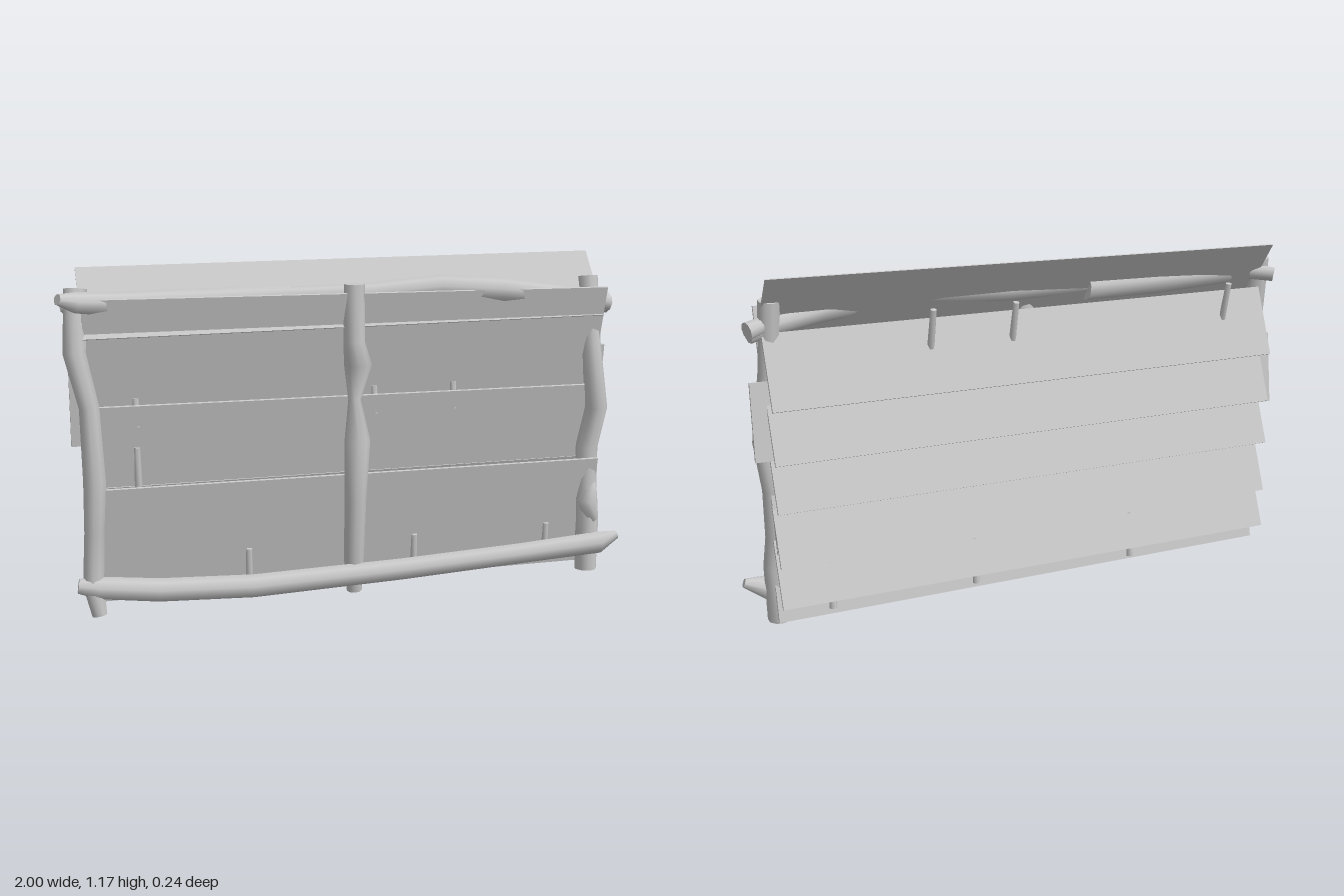
import * as THREE from 'three';

const grey = new THREE.MeshStandardMaterial({ color: 0xc8c8c8 });
grey.name = 'plain grey';

// Crooked log: rings of vertices around a kinked path, each point is [x, y, z, radius]
function log(name, points, sides = 9) {
  const path = points.map(p => new THREE.Vector3(p[0], p[1], p[2]));
  const pos = [], idx = [];
  const rings = path.map((p, i) => {
    const t = path[Math.min(i + 1, path.length - 1)].clone().sub(path[Math.max(i - 1, 0)]).normalize();
    const u = new THREE.Vector3(0, 0, 1).cross(t).normalize();
    const v = t.clone().cross(u);
    return Array.from({ length: sides }, (_, k) => {
      const a = k / sides * Math.PI * 2;
      return p.clone().addScaledVector(u, Math.cos(a) * points[i][3]).addScaledVector(v, Math.sin(a) * points[i][3]);
    });
  });
  rings.forEach(r => r.forEach(q => pos.push(q.x, q.y, q.z)));
  for (let i = 0; i < rings.length - 1; i++) {
    for (let k = 0; k < sides; k++) {
      const a = i * sides + k, b = i * sides + (k + 1) % sides;
      idx.push(a, b, a + sides, b, b + sides, a + sides);
    }
  }
  // flat sawn ends
  [0, rings.length - 1].forEach((ri, end) => {
    const base = pos.length / 3;
    rings[ri].forEach(q => pos.push(q.x, q.y, q.z));
    for (let k = 1; k < sides - 1; k++) {
      if (end) idx.push(base, base + k, base + k + 1);
      else idx.push(base, base + k + 1, base + k);
    }
  });
  const g = new THREE.BufferGeometry();
  g.setAttribute('position', new THREE.Float32BufferAttribute(pos, 3));
  g.setIndex(idx);
  g.computeVertexNormals();
  const m = new THREE.Mesh(g, grey);
  m.name = name;
  return m;
}

// Board leaning between a low and a high edge, given as y and z
function board(name, y0, z0, y1, z1, x0, x1, tilt, thick = 0.01) {
  const m = new THREE.Mesh(new THREE.BoxGeometry(x1 - x0, Math.hypot(y1 - y0, z1 - z0), thick), grey);
  m.position.set((x0 + x1) / 2, (y0 + y1) / 2, (z0 + z1) / 2);
  m.rotation.set(Math.atan2(z1 - z0, y1 - y0), 0, tilt);
  m.name = name;
  return m;
}

export function createModel() {
  const root = new THREE.Group();
  root.name = 'slattedFence';

  // steep front boards: low y, low z, high y, high z
  const slats = new THREE.Group();
  slats.name = 'slats';
  [
    [0.03, -0.045, 0.44, 0.045],
    [0.28, -0.075, 0.71, 0.02],
    [0.62, -0.04, 1.065, 0.07],
  ].forEach(s => slats.add(board('frontSlat', ...s, -0.92, 0.905, -0.008)));

  // shallower overlapping boards behind: low y, high y
  [[0.10, 0.31], [0.24, 0.43], [0.425, 0.63], [0.585, 0.79], [0.76, 0.99]].forEach(([y0, y1]) =>
    slats.add(board('backSlat', y0, -0.117, y1, -0.117 + 0.41 * (y1 - y0), -0.92, 0.905, -0.004)));
  slats.add(board('wideSlat', 0.58, -0.07, 0.83, -0.035, -0.96, 0.955, 0.008));
  slats.add(board('capBoard', 0.95, 0.054, 1.165, -0.105, -0.92, 0.905, 0.008, 0.004));
  root.add(slats);

  // uprights
  root.add(
    log('leftPost', [
      [-0.9, 0.02, 0.05, 0.025], [-0.915, 0.12, 0.035, 0.035], [-0.905, 0.3, 0.03, 0.033],
      [-0.9, 0.48, 0.06, 0.037], [-0.905, 0.72, 0.03, 0.033], [-0.945, 0.9, 0.04, 0.037], [-0.93, 1.1, 0.0, 0.038],
    ]),
    log('centrePost', [
      [-0.01, 0.012, 0.02, 0.027], [-0.015, 0.14, 0.03, 0.036], [-0.015, 0.35, 0.05, 0.038],
      [-0.01, 0.56, 0.055, 0.045], [-0.015, 0.7, 0.04, 0.022], [-0.005, 0.82, 0.045, 0.048],
      [-0.02, 0.9, 0.05, 0.037], [-0.02, 1.095, 0.055, 0.036],
    ]),
    log('rightPost', [
      [0.885, 0.008, 0.02, 0.04], [0.89, 0.2, 0.01, 0.042], [0.88, 0.3, 0.01, 0.04],
      [0.885, 0.47, -0.005, 0.04], [0.9, 0.62, 0.03, 0.04], [0.88, 0.85, 0.01, 0.035], [0.875, 1.09, -0.025, 0.035],
    ]),
    log('rightPostKnot', [[0.9, 0.2, 0.025, 0.025], [0.87, 0.28, 0.04, 0.04], [0.9, 0.34, 0.03, 0.012]]),
  );

  // rails
  root.add(
    log('bottomRail', [
      [-0.965, 0.125, 0.04, 0.025], [-0.9, 0.115, 0.045, 0.038], [-0.7, 0.09, 0.05, 0.04], [-0.38, 0.075, 0.055, 0.04],
      [0.15, 0.085, 0.055, 0.038], [0.6, 0.1, 0.05, 0.037], [0.92, 0.115, 0.05, 0.04], [0.99, 0.14, 0.055, 0.015],
    ]),
    log('topRailLeft', [
      [-0.995, 1.08, 0.1, 0.018], [-0.94, 1.065, 0.07, 0.034], [-0.8, 1.05, 0.02, 0.04],
      [-0.5, 1.045, 0.008, 0.047], [-0.23, 1.045, 0.005, 0.048],
    ]),
    log('topRailRight', [
      [-0.85, 1.065, 0.03, 0.018], [-0.3, 1.055, 0.015, 0.033], [0.05, 1.055, 0.01, 0.038], [0.3, 1.07, 0.015, 0.044],
      [0.52, 1.055, 0.04, 0.045], [0.7, 1.035, 0.015, 0.036], [0.88, 1.005, 0.0, 0.035], [0.945, 0.99, -0.01, 0.035],
    ]),
    log('leftRailStub', [[-0.965, 1.04, -0.05, 0.025], [-0.9, 1.05, 0.0, 0.03]]),
    log('rightRailStub', [[0.85, 1.02, 0.0, 0.025], [0.95, 1.0, -0.03, 0.03]]),
  );

  // thin pegs holding the slats
  const pegs = new THREE.Group();
  pegs.name = 'pegs';
  const peg = (x, y0, z0, y1, z1) => pegs.add(log('peg', [[x, y0, z0, 0.013], [x, y1, z1, 0.011]], 6));
  for (const x of [-0.75, 0.07, 0.36]) {
    peg(x, 0.88, -0.052, 1.03, -0.09);
    peg(x, 0.64, 0.0, 0.735, -0.005);
  }
  peg(-0.75, 0.42, -0.01, 0.57, -0.005);
  for (const x of [-0.38, 0.22, 0.73]) {
    peg(x, 0.06, -0.085, 0.25, -0.06);
    peg(x, 0.08, -0.01, 0.19, 0.0);
  }
  root.add(pegs);

  return root;
}
